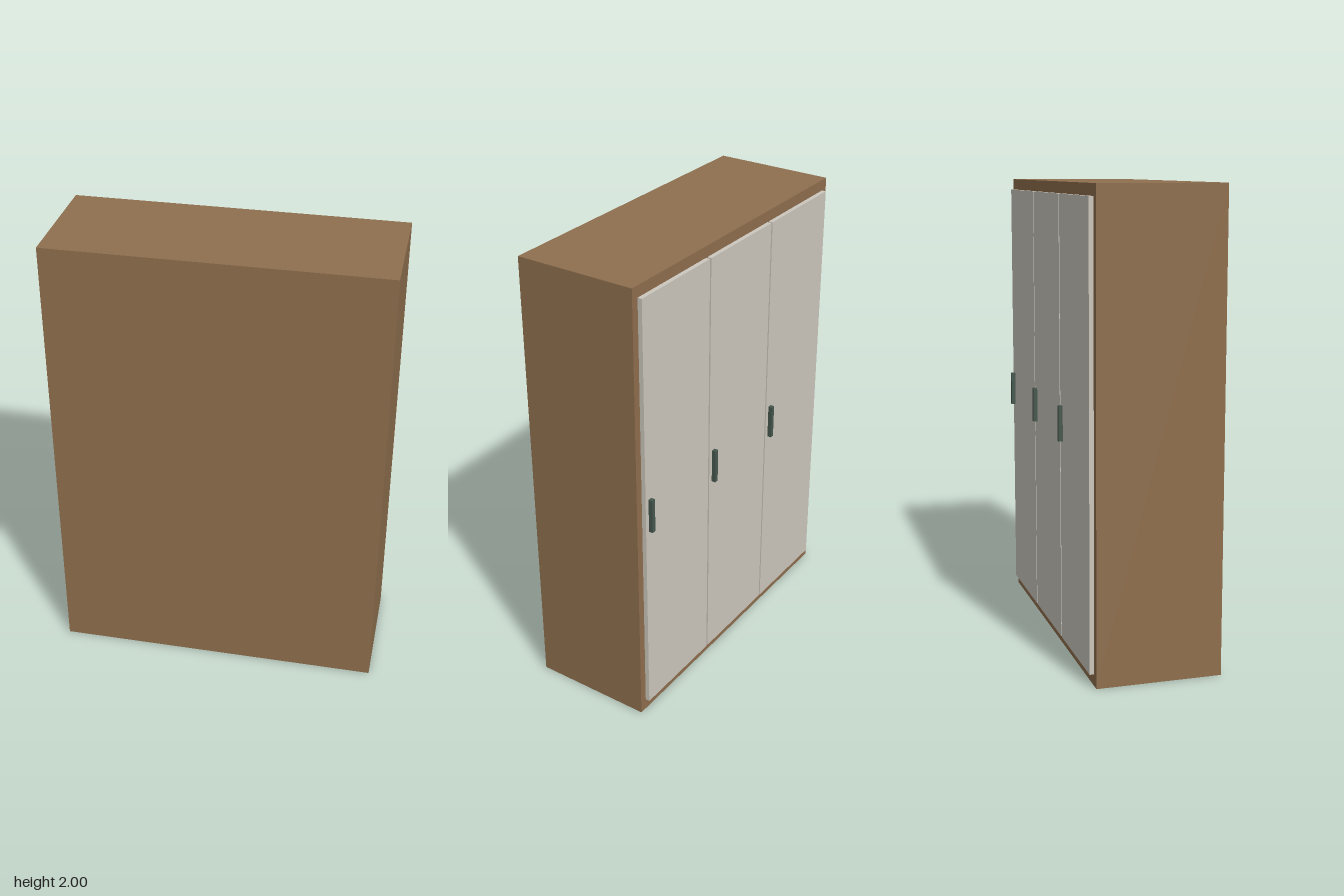
import * as THREE from 'three';

const paint = (color) => new THREE.MeshStandardMaterial({ color });

// Box given by its centre x and its y and z extents
function slab(name, x, width, [y0, y1], [z0, z1], material) {
  const mesh = new THREE.Mesh(new THREE.BoxGeometry(width, y1 - y0, z1 - z0), material);
  mesh.name = name;
  mesh.position.set(x, (y0 + y1) / 2, (z0 + z1) / 2);
  return mesh;
}

export function createModel() {
  const wardrobe = new THREE.Group();
  wardrobe.name = 'wardrobe';
  const wood = paint(0x8f6f4e);
  const panel = paint(0xcdc8be);
  const metal = paint(0x46584e);

  // Cabinet body
  wardrobe.add(slab('cabinet', 0, 1.428, [0, 2], [-0.248, 0.285], wood));

  // Three doors on the -z face, each with an upright handle near its +x edge
  const pitch = 0.457;
  ['right', 'middle', 'left'].forEach((side, i) => {
    const x = (i - 1) * pitch;
    wardrobe.add(
      slab(`${side}Door`, x, 0.448, [0.05, 1.952], [-0.267, -0.248], panel),
      slab(`${side}Handle`, x + 0.195, 0.019, [0.926, 1.078], [-0.285, -0.267], metal),
    );
  });

  return wardrobe;
}
